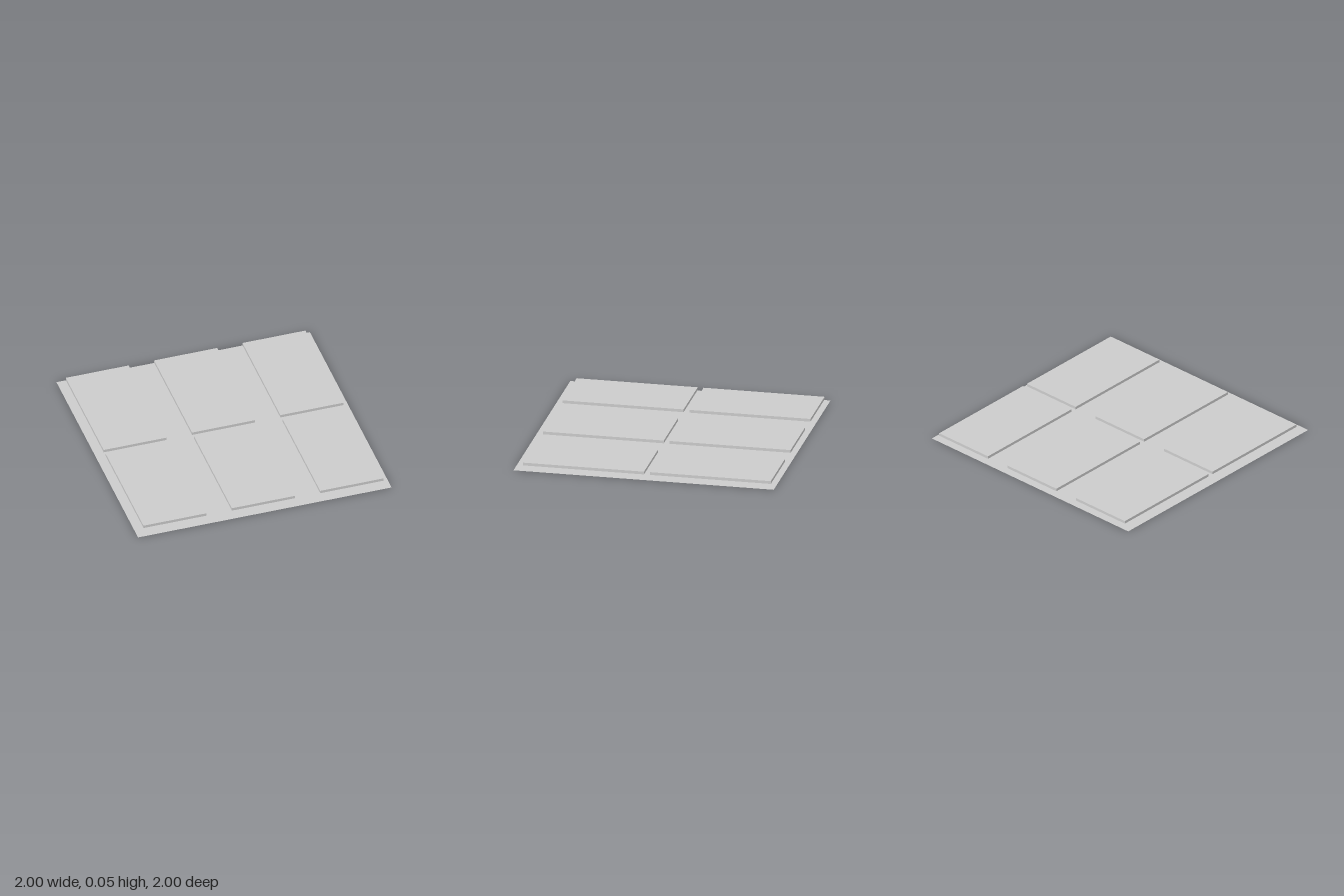
import * as THREE from 'three';

export function createModel() {
  const group = new THREE.Group();
  const material = new THREE.MeshStandardMaterial({ color: 0xcccccc, flatShading: true });

  // Paper-thin square base on the ground, seen from both sides
  const baseMaterial = material.clone();
  baseMaterial.side = THREE.DoubleSide;
  const base = new THREE.Mesh(new THREE.PlaneGeometry(2, 2).rotateX(-Math.PI / 2), baseMaterial);
  base.name = 'base';
  group.add(base);

  // Three columns by two rows of slabs, floating just above the base
  const slabGeometry = new THREE.BoxGeometry(0.497, 0.022, 0.93);
  for (const z of [-0.503, 0.472]) {
    for (const x of [-0.688, 0.009, 0.706]) {
      const slab = new THREE.Mesh(slabGeometry, material);
      slab.name = 'slab';
      slab.position.set(x, 0.039, z);
      group.add(slab);
    }
  }
  return group;
}
